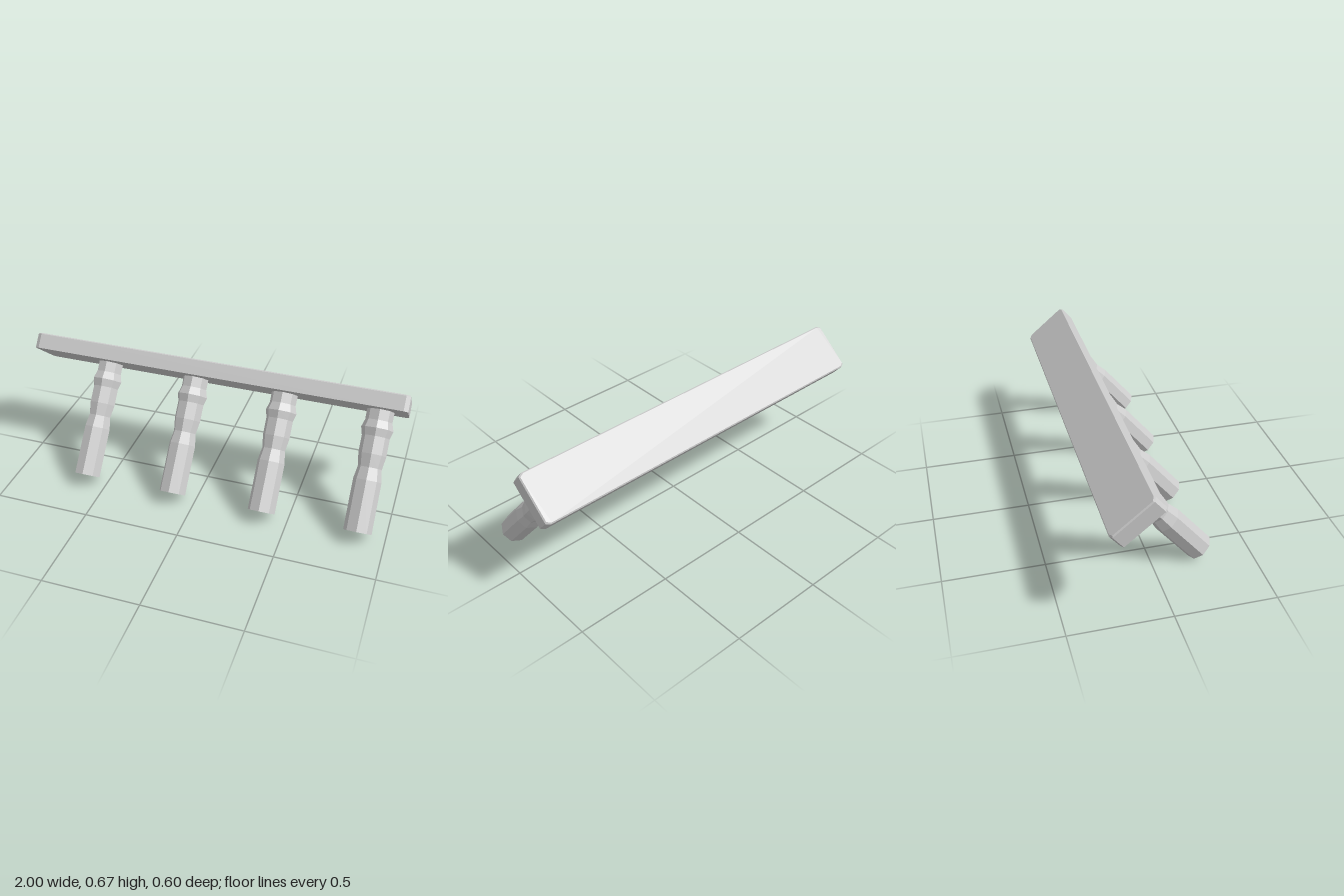
import * as THREE from 'three';

const material = new THREE.MeshStandardMaterial({
  color: 0xcccccc, flatShading: true, side: THREE.DoubleSide,
});

// Bar: chamfered-corner plank with a fine bevel around its upper face
function barGeometry(halfX, halfZ, height, bevel) {
  const cx = 0.022, cz = 0.013;
  const plan = new THREE.Shape([
    [halfX, -halfZ + cz], [halfX, halfZ - cz], [halfX - cx, halfZ], [-halfX + cx, halfZ],
    [-halfX, halfZ - cz], [-halfX, -halfZ + cz], [-halfX + cx, -halfZ], [halfX - cx, -halfZ],
  ].map(([x, y]) => new THREE.Vector2(x, y)));
  const geometry = new THREE.ExtrudeGeometry(plan, { depth: height, steps: 2, bevelEnabled: false });
  const p = geometry.attributes.position;
  for (let i = 0; i < p.count; i++) {
    const z = p.getZ(i);
    if (z > height * 0.9) {
      p.setX(i, p.getX(i) * (1 - bevel / halfX));
      p.setY(i, p.getY(i) * (1 - bevel / halfZ));
    } else if (z > height * 0.1) {
      p.setZ(i, height - bevel);
    }
  }
  geometry.rotateX(-Math.PI / 2);
  geometry.computeVertexNormals();
  return geometry;
}

// Peg: open eight-sided tube with a waist and a raised collar (radius, height)
function pegGeometry() {
  const profile = [
    [0.071, 0], [0.071, 0.26], [0.06, 0.325], [0.07, 0.392],
    [0.07, 0.482], [0.081, 0.522], [0.068, 0.563], [0.069, 0.617],
  ].map(([r, y]) => new THREE.Vector2(r, y));
  return new THREE.LatheGeometry(profile, 8);
}

export function createModel() {
  const model = new THREE.Group();
  model.name = 'pegRail';

  // Everything leans back together by 40 degrees
  const tilted = new THREE.Group();
  tilted.name = 'tiltedAssembly';
  tilted.rotation.x = THREE.MathUtils.degToRad(-40);
  tilted.position.set(0, 0.046, 0.245);
  model.add(tilted);

  const bar = new THREE.Mesh(barGeometry(1, 0.131, 0.083, 0.006), material);
  bar.name = 'bar';
  bar.position.set(0, 0.617, 0.006);
  tilted.add(bar);

  // Four pegs, slightly unevenly spaced
  const peg = pegGeometry();
  [-0.604, -0.117, 0.366, 0.861].forEach((x, i) => {
    const mesh = new THREE.Mesh(peg, material);
    mesh.name = `peg${i + 1}`;
    mesh.position.x = x;
    tilted.add(mesh);
  });

  return model;
}
